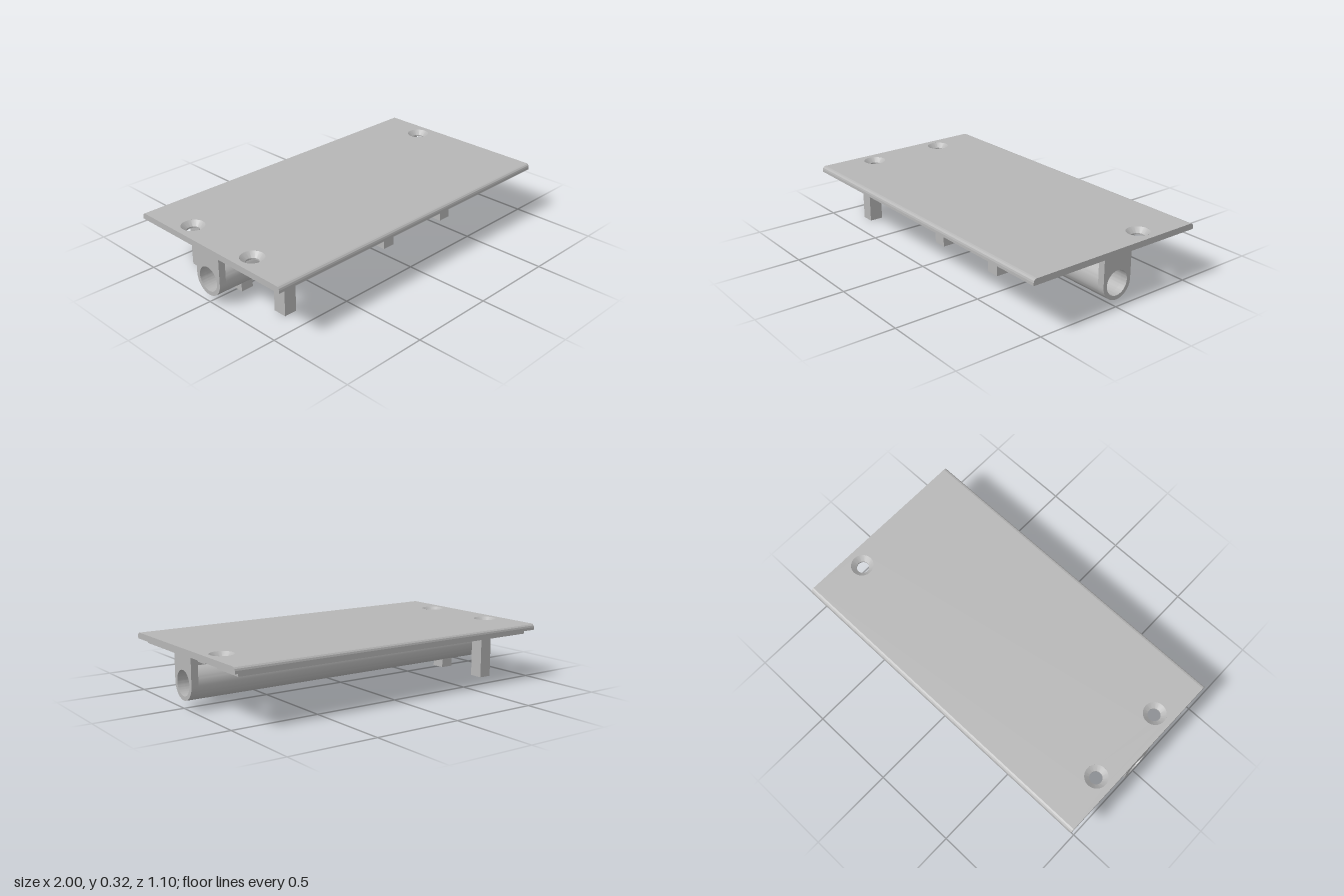
import * as THREE from 'three';
import { toCreasedNormals } from 'three/addons/utils/BufferGeometryUtils.js';

const BOTTOM = 0.285, TOP = 0.32;      // plate faces
const BORE_Y = 0.135, OUTER = 0.093, BORE = 0.07;
const HOLES = [[-0.9, -0.24], [-0.9, 0.24], [0.9, -0.24]];

export function createModel() {
  const model = new THREE.Group();
  model.name = 'mountingPlate';
  const grey = new THREE.MeshStandardMaterial({ color: 0xb6b6b6 });
  grey.name = 'plain grey';

  const add = (name, geometry) => {
    const mesh = new THREE.Mesh(geometry, grey);
    mesh.name = name;
    model.add(mesh);
    return mesh;
  };
  const block = (name, x0, x1, y0, y1, z0, z1) =>
    add(name, new THREE.BoxGeometry(x1 - x0, y1 - y0, z1 - z0))
      .position.set((x0 + x1) / 2, (y0 + y1) / 2, (z0 + z1) / 2);
  const extrude = (shape, depth) => toCreasedNormals(new THREE.ExtrudeGeometry(shape,
    { depth, bevelEnabled: false, curveSegments: 32 }), 0.6);
  // Extrudes a cross-section (-z, y) along x
  const alongX = (name, shape, x0, x1) =>
    add(name, extrude(shape, x1 - x0).rotateY(Math.PI / 2).translate(x0, 0, 0));
  const circle = (x, y, r) => new THREE.Path().absarc(x, y, r, 0, Math.PI * 2, true);

  // Flat plate with openings for the screws
  const slab = new THREE.Shape();
  slab.moveTo(-1, -0.53).lineTo(1, -0.53).lineTo(1, 0.53).lineTo(-1, 0.53).closePath();
  for (const [x, z] of HOLES) slab.holes.push(circle(x, -z, 0.065));
  add('plate', extrude(slab, TOP - BOTTOM).rotateX(-Math.PI / 2).translate(0, BOTTOM, 0));

  // Rounded long edges
  for (const s of [-1, 1]) {
    const edge = new THREE.Shape();
    edge.moveTo(s * 0.53, BOTTOM).lineTo(s * 0.55, BOTTOM).lineTo(s * 0.55, TOP - 0.02);
    edge.absarc(s * 0.53, TOP - 0.02, 0.02, s > 0 ? 0 : Math.PI, Math.PI / 2, s < 0);
    edge.closePath();
    alongX('roundedEdge', edge, -1, 1);
  }

  // Countersunk screw seats, profile running from underside to top
  const seat = [[0.065, BOTTOM], [0.036, BOTTOM], [0.036, 0.294], [0.065, TOP]]
    .map(([r, y]) => new THREE.Vector2(r, y));
  const seatGeometry = toCreasedNormals(new THREE.LatheGeometry(seat.reverse(), 40), 0.5);
  const seatMaterial = grey;
  seatMaterial.side = THREE.DoubleSide;
  for (const [x, z] of HOLES) add('screwSeat', seatGeometry).position.set(x, 0, z);

  // Locating rim under the plate, interrupted at the screws
  const RIM = 0.26, W = 0.025;
  for (const s of [-1, 1]) {
    const z = s * (0.51 - W / 2);
    block('longRim', -0.96, 0.96, RIM, BOTTOM, z - W / 2, z + W / 2);
  }
  const ends = [
    [-0.96, [[-0.51, -0.3], [-0.17, 0.17], [0.3, 0.51]]],
    [0.96 - W, [[-0.51, -0.3], [-0.17, 0.51]]],
  ];
  for (const [x, spans] of ends)
    for (const [z0, z1] of spans) block('endRim', x, x + W, RIM, BOTTOM, z0, z1);

  // Hollow tube with a narrow web up to the plate
  const ring = new THREE.Shape().absarc(0, BORE_Y, OUTER, 0, Math.PI * 2, false);
  ring.holes.push(circle(0, BORE_Y, BORE));
  alongX('tube', ring, -0.96, 0.96);
  block('tubeWeb', -0.96, 0.96, 0.215, BOTTOM, -0.025, 0.025);

  // U-shaped brackets at both ends of the tube
  const bracket = new THREE.Shape();
  bracket.moveTo(OUTER, BOTTOM).lineTo(-OUTER, BOTTOM).lineTo(-OUTER, BORE_Y);
  bracket.absarc(0, BORE_Y, OUTER, Math.PI, Math.PI * 2, false);
  bracket.closePath();
  bracket.holes.push(circle(0, BORE_Y, BORE));
  alongX('endBracket', bracket, -1, -0.96);
  alongX('endBracket', bracket, 0.96, 1);

  // Tall posts, the middle one split by the tube bore
  block('frontPost', -0.82, -0.745, 0, BOTTOM, 0.3, 0.38);
  block('backPost', -0.82, -0.745, 0, BOTTOM, -0.38, -0.3);
  block('middlePostLower', -0.82, -0.745, 0, 0.06, -0.04, 0.04);
  block('middlePostUpper', -0.82, -0.745, 0.208, BOTTOM, -0.04, 0.04);

  // Short front posts
  for (const x of [-0.03, 0.45])
    block('shortPost', x - 0.039, x + 0.039, 0.085, BOTTOM, 0.283, 0.362);

  return model;
}
